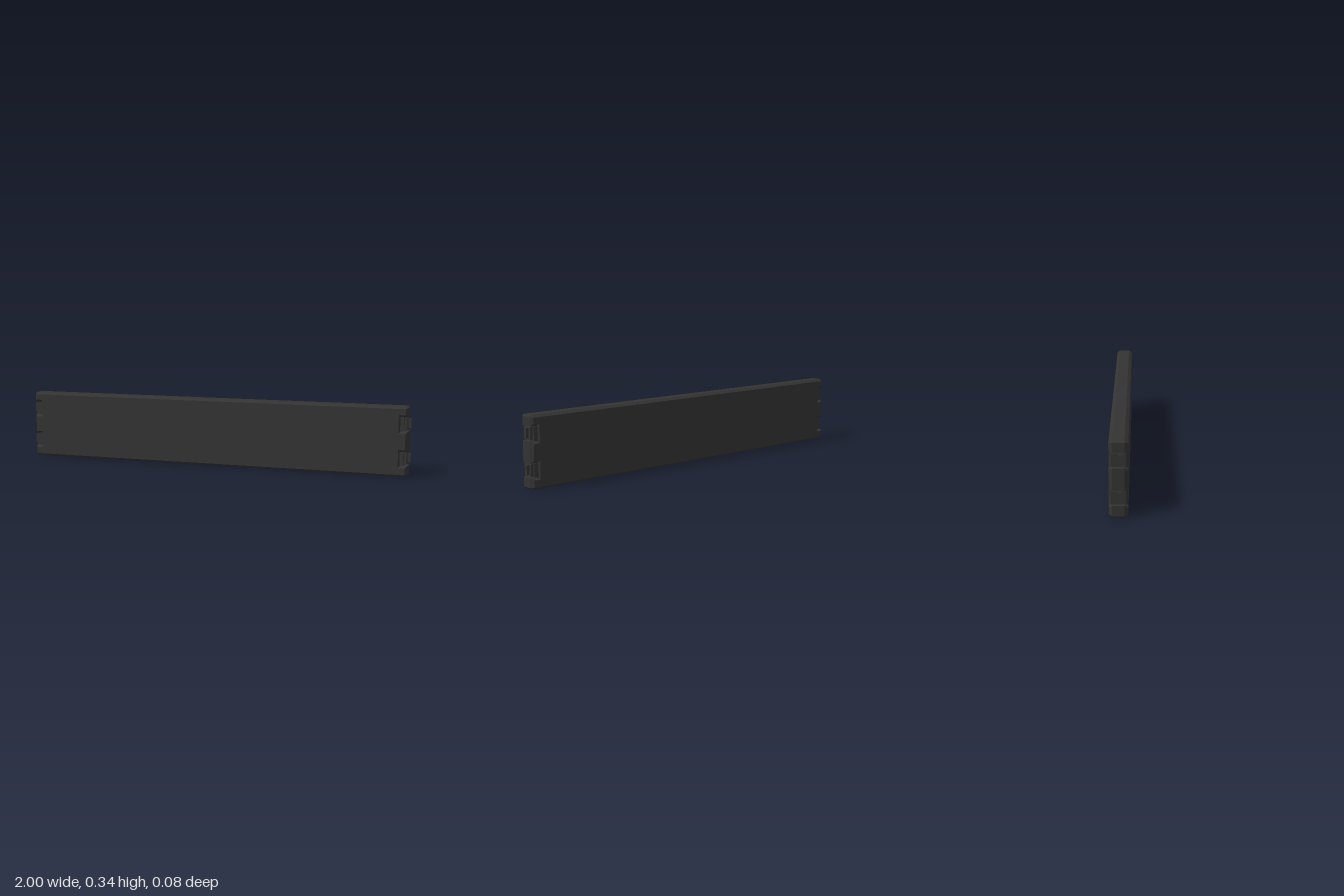
import * as THREE from 'three';

export function createModel() {
  const model = new THREE.Group();
  const material = new THREE.MeshStandardMaterial({ color: 0x333333, flatShading: true });
  const height = 0.338, halfDepth = 0.042, endX = 0.99;
  const notches = [[0.055, 0.12], [0.22, 0.287]];

  // Plank outline: clipped corners and two notches in each end
  const c = 0.008, notchX = 0.957;
  const rightEnd = [[endX - c, 0], [endX, c]];
  for (const [low, high] of notches) {
    rightEnd.push([endX, low], [notchX, low], [notchX, high], [endX, high]);
  }
  rightEnd.push([endX, height - c], [endX - c, height]);
  const leftEnd = rightEnd.map(([x, y]) => [-x, y]).reverse();
  const outline = [...rightEnd, ...leftEnd].map(([x, y]) => new THREE.Vector2(x, y));

  // Chamfered body
  const chamfer = 0.016;
  const bodyGeometry = new THREE.ExtrudeGeometry(new THREE.Shape(outline), {
    depth: 2 * (halfDepth - chamfer),
    bevelEnabled: true,
    bevelSegments: 1,
    bevelThickness: chamfer,
    bevelSize: 0.011,
    bevelOffset: -0.011,
  });
  bodyGeometry.translate(0, 0, chamfer - halfDepth);
  const body = new THREE.Mesh(bodyGeometry, material);
  body.name = 'plank';
  model.add(body);

  function addBox(parent, name, x0, x1, y0, y1, z0, z1) {
    const mesh = new THREE.Mesh(new THREE.BoxGeometry(x1 - x0, y1 - y0, z1 - z0), material);
    mesh.position.set((x0 + x1) / 2, (y0 + y1) / 2, (z0 + z1) / 2);
    mesh.name = name;
    parent.add(mesh);
  }

  // Connectors inside the notches; the far end is turned half a circle
  for (const side of ['left', 'right']) {
    const end = new THREE.Group();
    end.name = side + 'EndConnectors';
    if (side === 'right') end.rotation.y = Math.PI;
    for (const [low, high] of notches) {
      addBox(end, 'connectorBase', 0.93, 0.972, low, high, -0.033, 0.033);
      addBox(end, 'connectorBlock', 0.93, 0.985, low + 0.004, high - 0.004, -0.024, 0.024);
      addBox(end, 'connectorRib', 0.97, 1, low + 0.012, high - 0.008, -0.013, -0.001);
    }
    model.add(end);
  }
  return model;
}
